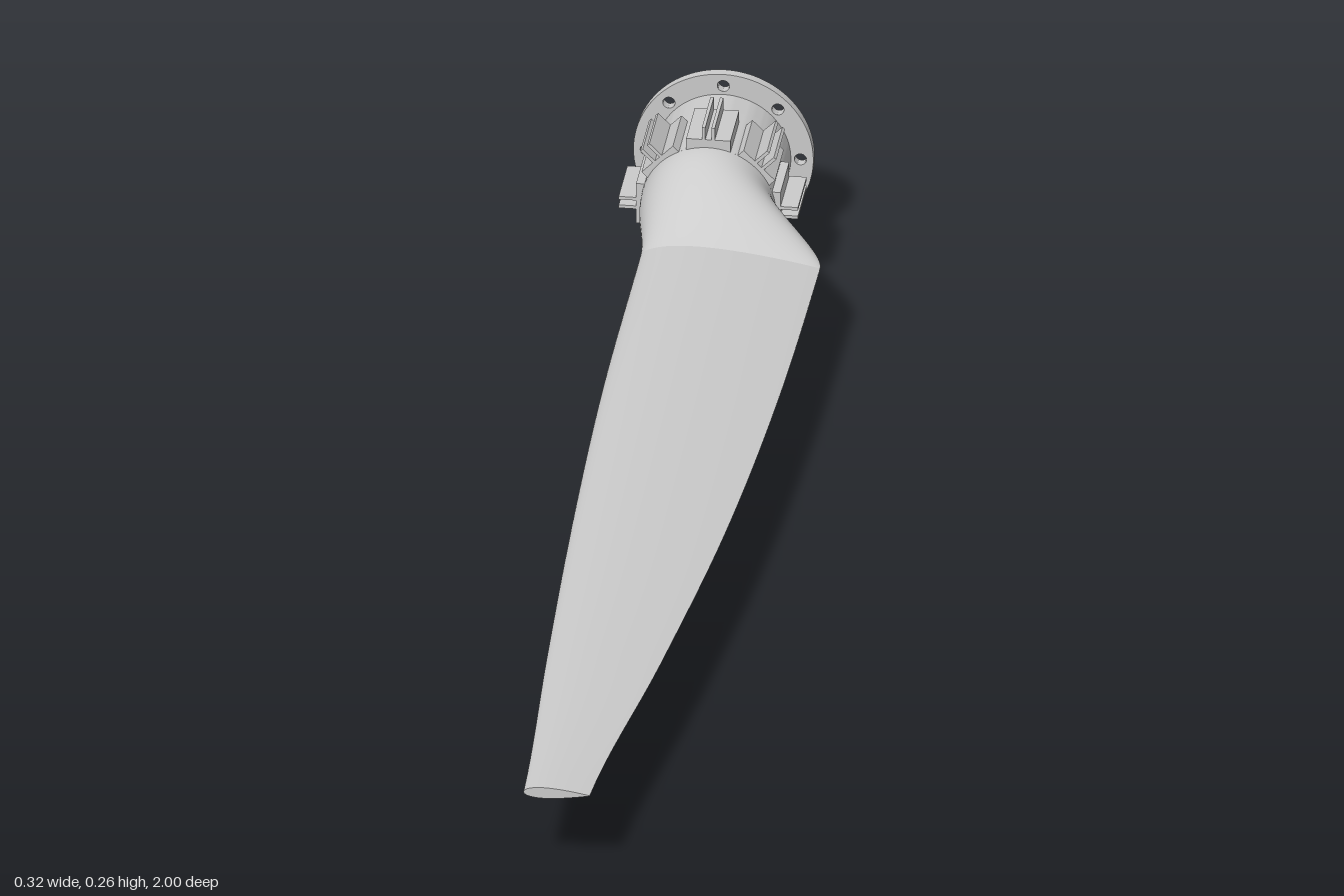
import * as THREE from 'three';
import { toCreasedNormals } from 'three/addons/utils/BufferGeometryUtils.js';

const CX = -0.029, CY = 0.132;   // root axis
const N = 72;                    // points around each section
const material = new THREE.MeshStandardMaterial({ color: 0xcccccc, side: THREE.DoubleSide });

// Half thickness of a symmetric aerofoil, u = 0 at the leading edge
const foil = (u) => 5 * 0.18 * (0.2969 * Math.sqrt(u) - 0.126 * u - 0.3516 * u * u
  + 0.2843 * u ** 3 - 0.1015 * u ** 4);

// Aerofoil section between leading edge x0 and trailing edge x1
function foilSection(x0, x1, z) {
  const points = [];
  for (let j = 0; j <= N; j++) {
    const t = (j / N) * Math.PI * 2;
    const u = (1 + Math.cos(t)) / 2;
    const side = j <= N / 2 ? 1 : -1;
    points.push(new THREE.Vector3(x0 + u * (x1 - x0), CY + side * foil(u) * (x1 - x0), z));
  }
  return points;
}

function loft(sections) {
  const pos = [], index = [], w = N + 1;
  sections.forEach((s) => s.forEach((p) => pos.push(p.x, p.y, p.z)));
  for (let i = 0; i < sections.length - 1; i++) {
    for (let j = 0; j < N; j++) {
      const a = i * w + j, b = a + 1, c = a + w, d = c + 1;
      index.push(a, b, c, b, d, c);
    }
  }
  const g = new THREE.BufferGeometry();
  g.setAttribute('position', new THREE.Float32BufferAttribute(pos, 3));
  g.setIndex(index);
  g.computeVertexNormals();
  return g;
}

// Ring along z, optionally drilled with a circle of bolt holes
function ring(outer, inner, z0, z1, bolts = 0) {
  const shape = new THREE.Shape().absarc(0, 0, outer, 0, Math.PI * 2, false);
  shape.holes.push(new THREE.Path().absarc(0, 0, inner, 0, Math.PI * 2, true));
  for (let i = 0; i < bolts; i++) {
    const a = (i / bolts) * Math.PI * 2;
    shape.holes.push(new THREE.Path().absarc(0.113 * Math.cos(a), 0.113 * Math.sin(a), 0.009, 0, Math.PI * 2, true));
  }
  const g = new THREE.ExtrudeGeometry(shape, { depth: z1 - z0, bevelEnabled: false, curveSegments: bolts ? 48 : 64 });
  g.translate(CX, CY, z0);
  return toCreasedNormals(g, 0.6);
}

export function createModel() {
  const model = new THREE.Group();
  model.name = 'rotorBlade';
  const add = (name, geometry, parent = model) => {
    const mesh = new THREE.Mesh(geometry, material);
    mesh.name = name;
    parent.add(mesh);
    return mesh;
  };

  // Edge curves of the blade, as (x, z)
  const edge = (pts) => new THREE.SplineCurve(pts.map(([x, z]) => new THREE.Vector2(x, z)));
  const leading = edge([[-0.107, -0.655], [-0.107, -0.24], [-0.096, 0.17], [-0.078, 0.585], [-0.057, 1]]);
  const trailing = edge([[0.157, -0.655], [0.15, -0.24], [0.128, 0.17], [0.088, 0.585], [0.04, 1]]);

  // Tapered blade
  const sections = [];
  for (let i = 0; i <= 32; i++) {
    const a = leading.getPoint(i / 32), b = trailing.getPoint(i / 32);
    sections.push(foilSection(a.x, b.x, -0.655 + 1.655 * (i / 32)));
  }
  add('blade', loft(sections));

  // Flat blade tip
  const tipShape = new THREE.Shape(sections[32].slice(0, N).map((p) => new THREE.Vector2(p.x, p.y)));
  add('bladeTip', new THREE.ShapeGeometry(tipShape).translate(0, 0, 1));

  // Shoulder from the round root to the blade section
  const shoulder = [];
  for (let i = 0; i <= 20; i++) {
    const u = i / 20;
    const sx = u * u * (3 - 2 * u), sy = u ** 1.5;
    shoulder.push(sections[0].map((p, j) => {
      const t = (j / N) * Math.PI * 2;
      return new THREE.Vector3(
        THREE.MathUtils.lerp(CX + 0.099 * Math.cos(t), p.x, sx),
        THREE.MathUtils.lerp(CY + 0.099 * Math.sin(t), p.y, sy),
        THREE.MathUtils.lerp(-0.82, -0.655, u));
    }));
  }
  add('shoulder', loft(shoulder));

  // Hollow root with a bolted flange and an inner lip
  add('rootTube', ring(0.099, 0.088, -0.985, -0.82));
  add('rootFlange', ring(0.132, 0.088, -1, -0.985, 8));
  add('innerLip', ring(0.09, 0.076, -0.84, -0.82));

  // Eight brackets around the root: a foot with two thin upright plates
  for (let i = 0; i < 8; i++) {
    const bracket = new THREE.Group();
    bracket.name = 'bracket';
    bracket.position.set(CX, CY, -0.867);
    bracket.rotation.z = (i / 8) * Math.PI * 2;
    const top = i % 4 === 0 ? 0.112 : 0.106;
    add('bracketFoot', new THREE.BoxGeometry(0.065, top - 0.091, 0.095), bracket)
      .position.y = (top + 0.091) / 2;
    for (const s of [-1, 1]) {
      add('bracketPlate', new THREE.BoxGeometry(0.005, 0.036, 0.095), bracket)
        .position.set(s * 0.007, 0.1135, 0);
    }
    model.add(bracket);
  }
  return model;
}
